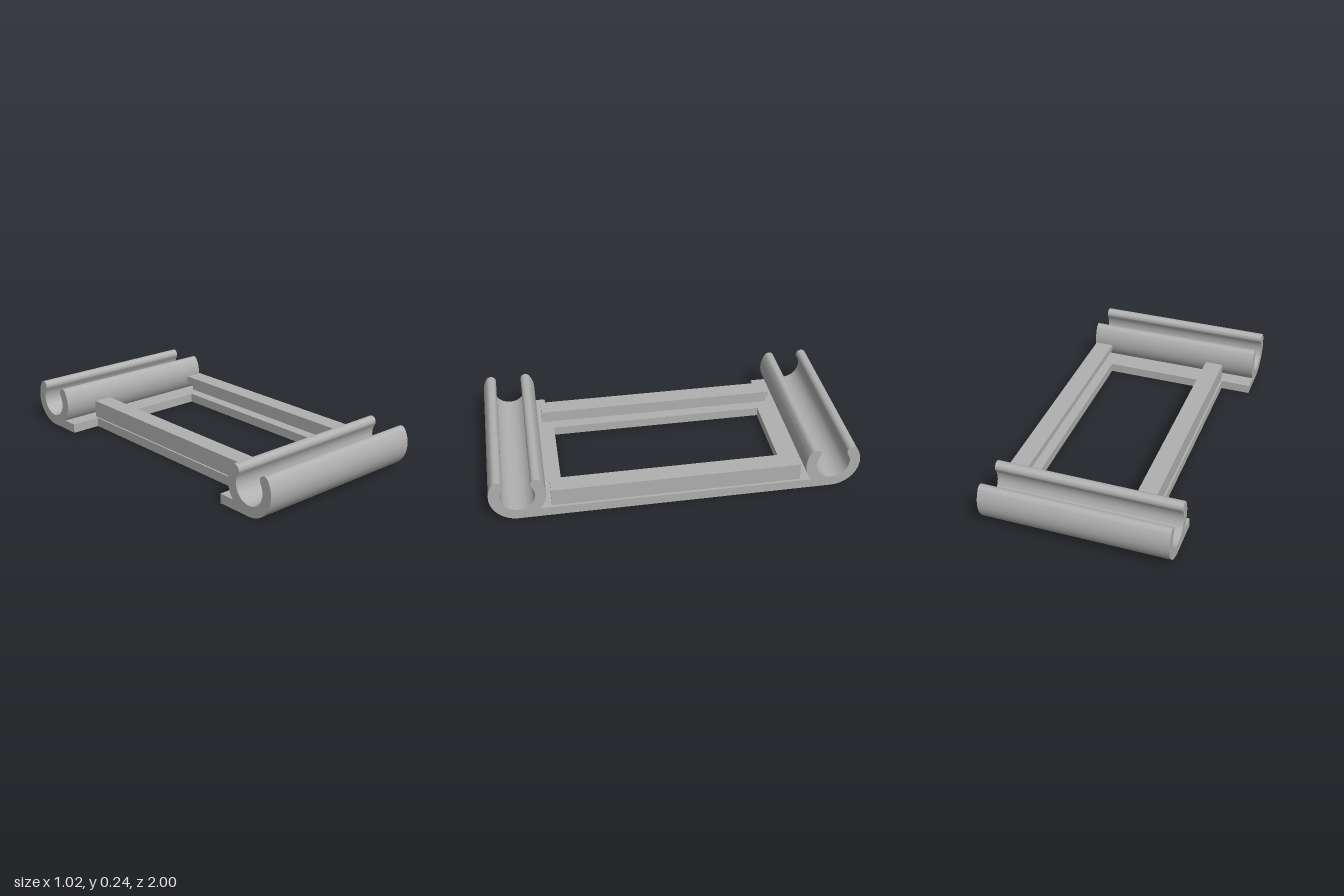
import * as THREE from 'three';
import { toCreasedNormals } from 'three/addons/utils/BufferGeometryUtils.js';

const PLATE = 0.052; // thickness of the base frame
const TAB = 0.645; // where the clip feet meet the frame

// Extrudes a (z, y) outline along x, between x0 and x1
function extrudeAlongX(shape, x0, x1) {
  const g = new THREE.ExtrudeGeometry(shape, { depth: x1 - x0, bevelEnabled: false, curveSegments: 40 });
  return toCreasedNormals(g.rotateY(-Math.PI / 2).translate(x1, 0, 0), 0.6);
}

function polygon(points) {
  return new THREE.Shape(points.map(([x, y]) => new THREE.Vector2(x, y)));
}

// Open C-shaped clip with rounded lips and a flat foot
function clipShape() {
  const cz = 0.85, cy = 0.15, outer = 0.15, inner = 0.092;
  const mid = (outer + inner) / 2, cap = (outer - inner) / 2;
  const a = THREE.MathUtils.degToRad(33), b = Math.PI - a;
  const join = Math.PI + Math.asin((cy - PLATE) / outer);
  const s = new THREE.Shape();
  s.absarc(cz, cy, outer, a, -Math.PI / 2, true);
  s.lineTo(TAB, 0);
  s.lineTo(TAB, PLATE);
  s.absarc(cz, cy, outer, join, b, true);
  s.absarc(cz + mid * Math.cos(b), cy + mid * Math.sin(b), cap, b, b - Math.PI, true);
  s.absarc(cz, cy, inner, b, a + 2 * Math.PI, false);
  s.absarc(cz + mid * Math.cos(a), cy + mid * Math.sin(a), cap, a + Math.PI, a, true);
  return s;
}

export function createModel() {
  const model = new THREE.Group();
  model.name = 'railClipBracket';
  const grey = new THREE.MeshStandardMaterial({ color: 0xb0b0b0 });
  grey.name = 'plainGrey';
  const add = (name, geometry) => {
    const mesh = new THREE.Mesh(geometry, grey);
    mesh.name = name;
    model.add(mesh);
    return mesh;
  };

  // Clips at both ends
  const clip = extrudeAlongX(clipShape(), -0.51, 0.51);
  add('frontClip', clip);
  add('backClip', clip).rotation.y = Math.PI;

  // Flat frame with a rectangular opening
  const frame = polygon([[-0.34, -TAB], [0.51, -TAB], [0.51, TAB], [-0.34, TAB]]);
  frame.holes.push(polygon([[-0.205, -0.61], [-0.205, 0.61], [0.37, 0.61], [0.37, -0.61]]));
  const frameGeometry = new THREE.ExtrudeGeometry(frame, { depth: PLATE, bevelEnabled: false });
  add('baseFrame', frameGeometry.rotateX(-Math.PI / 2));

  // Rails with a groove facing the opening
  const length = 1.35, top = 0.15, lip = 0.115;
  for (const side of [-1, 1]) {
    const outerX = side < 0 ? -0.33 : 0.495;
    const at = (d) => outerX - side * d;
    const points = [[at(0), PLATE], [at(0.06), PLATE], [at(0.06), lip], [at(0.105), lip], [at(0.105), top], [at(0), top]];
    const rail = new THREE.ExtrudeGeometry(polygon(points), { depth: length, bevelEnabled: false });
    add(side < 0 ? 'rightRail' : 'leftRail', rail.translate(0, 0, -length / 2));
  }
  return model;
}
